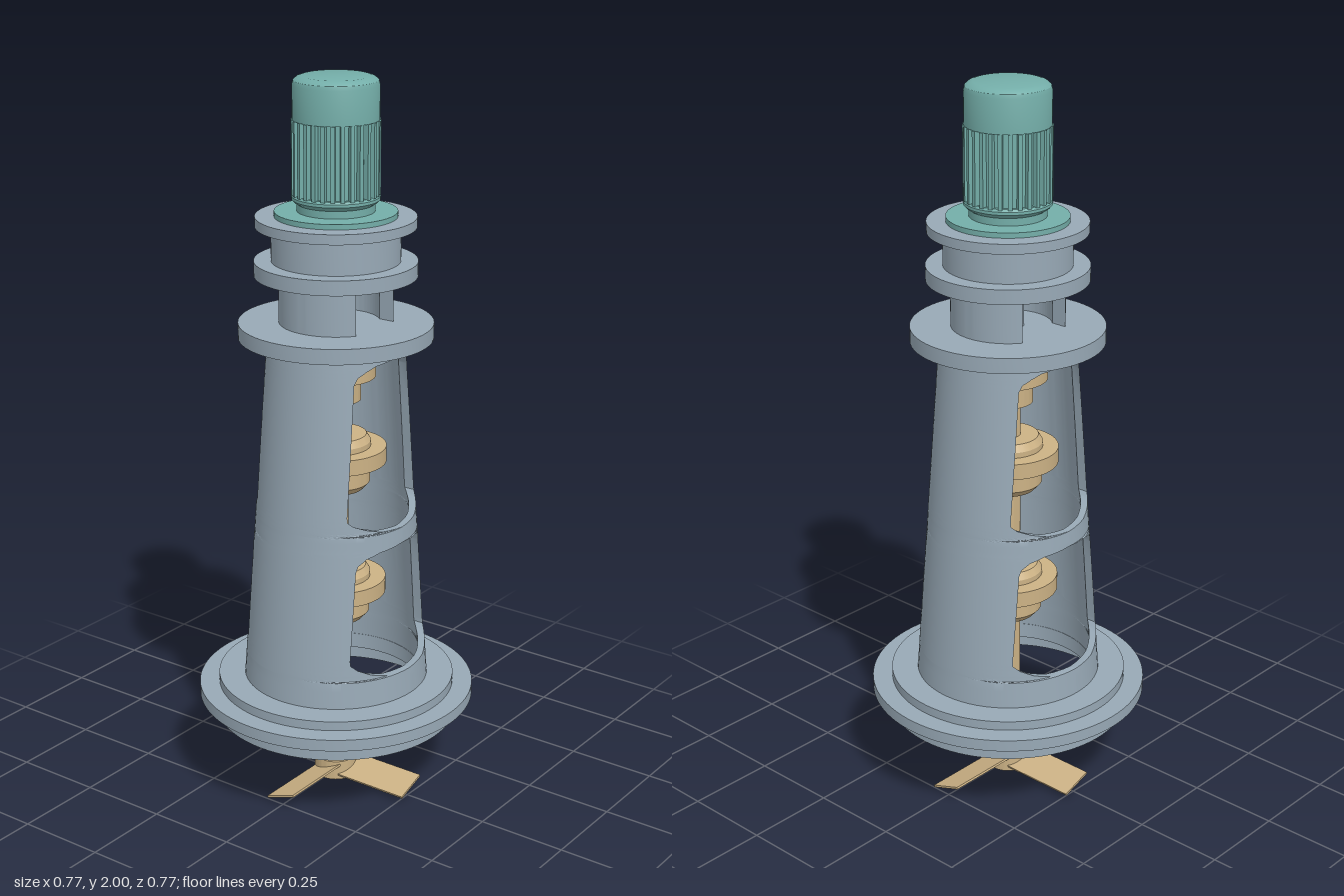
import * as THREE from 'three';
import { mergeGeometries, toCreasedNormals } from 'three/addons/utils/BufferGeometryUtils.js';

const material = (name, color) => {
  const m = new THREE.MeshStandardMaterial({ color });
  m.name = name;
  return m;
};

// Turned part; the profile runs counter-clockwise as [radius, height].
function turned(name, profile, mat, segments = 64) {
  const points = profile.map(([r, y]) => new THREE.Vector2(r, y));
  const mesh = new THREE.Mesh(toCreasedNormals(new THREE.LatheGeometry(points, segments), 0.5), mat);
  mesh.name = name;
  return mesh;
}
const disc = (name, r, y0, y1, mat) => turned(name, [[0, y0], [r, y0], [r, y1], [0, y1]], mat);

// Grid of points from at(i, j); cells for which skip(j) is true stay open.
function strip(at, nu, nv, skip = () => false) {
  const pos = [], index = [];
  for (let j = 0; j <= nv; j++) for (let i = 0; i <= nu; i++) pos.push(...at(i, j));
  for (let j = 0; j < nv; j++) {
    if (skip(j)) continue;
    for (let i = 0; i < nu; i++) {
      const a = j * (nu + 1) + i, c = a + nu + 1;
      index.push(a, a + 1, c, a + 1, c + 1, c);
    }
  }
  const g = new THREE.BufferGeometry();
  g.setAttribute('position', new THREE.Float32BufferAttribute(pos, 3));
  g.setIndex(index);
  return g;
}

// Half of a round wall, pierced front to back by openings.
// openings: [height, half width of the opening]; radius(y) is the outer radius.
function halfWall(openings, radius, thickness) {
  const levels = [];
  openings.forEach(([y, w], k) => {
    const next = openings[k + 1];
    if (!next) return levels.push([y, w]);
    for (let s = 0; s < 3; s++) {
      levels.push([y + (next[0] - y) * s / 3, w + (next[1] - w) * s / 3]);
    }
  });
  const n = 32, nv = levels.length - 1;
  const point = (j, t, inset) => {
    const [y, w] = levels[j];
    const r = radius(y) - inset;
    const phi = Math.acos(w / r) * t;
    return [r * Math.cos(phi), y, r * Math.sin(phi)];
  };
  const closed = j => levels[j][1] === 0 && levels[j + 1][1] === 0;
  return toCreasedNormals(mergeGeometries([
    strip((i, j) => point(j, 1 - 2 * i / n, 0), n, nv),
    strip((i, j) => point(j, -1, i * thickness), 1, nv, closed),
    strip((i, j) => point(j, -1 + 2 * i / n, thickness), n, nv),
    strip((i, j) => point(j, 1, (1 - i) * thickness), 1, nv, closed),
  ]), 0.5);
}

function wallPair(name, geometry, mat) {
  const group = new THREE.Group();
  group.name = name;
  for (const side of [0, 1]) {
    const mesh = new THREE.Mesh(geometry, mat);
    mesh.name = side ? 'rightWall' : 'leftWall';
    mesh.rotation.y = side * Math.PI;
    group.add(mesh);
  }
  return group;
}

export function createModel() {
  const grey = material('blueGreyCasting', 0x98a9b6);
  const teal = material('tealMotor', 0x74aea9);
  const tan = material('tanShaft', 0xccb285);
  const model = new THREE.Group();
  model.name = 'agitator';

  // Hollow stepped base flange
  model.add(turned('baseFlange', [
    [0.31, 0.212], [0.337, 0.212], [0.337, 0.265], [0.385, 0.265], [0.385, 0.298],
    [0.33, 0.298], [0.33, 0.324], [0.236, 0.324], [0.236, 0.28], [0.31, 0.265], [0.31, 0.212],
  ], grey, 96));

  // Tapered lantern with two openings, front and back
  const taper = y => 0.257 - 0.072 * (y - 0.324) / 0.981;
  model.add(wallPair('lantern', halfWall([
    [0.324, 0], [0.398, 0], [0.402, 0.085], [0.415, 0.13], [0.432, 0.16], [0.447, 0.174], [0.46, 0.174],
    [0.71, 0.148], [0.728, 0.142], [0.745, 0.122], [0.757, 0.085], [0.765, 0],
    [0.808, 0], [0.814, 0.075], [0.826, 0.115], [0.84, 0.145], [0.852, 0.156], [0.865, 0.156],
    [1.225, 0.121], [1.243, 0.112], [1.256, 0.092], [1.268, 0.065], [1.275, 0], [1.305, 0],
  ], taper, 0.02), grey));

  // Flanges and neck above the lantern
  model.add(disc('lanternFlange', 0.262, 1.305, 1.347, grey));
  model.add(disc('sealSeat', 0.085, 1.24, 1.305, grey));
  model.add(wallPair('neckPillars', halfWall([[1.347, 0.085], [1.475, 0.085]], () => 0.153, 0.035), grey));
  model.add(disc('neckShaft', 0.043, 1.347, 1.475, grey));
  model.add(turned('gearHousing', [
    [0, 1.475], [0.218, 1.475], [0.218, 1.515], [0.172, 1.515], [0.172, 1.607],
    [0.214, 1.607], [0.214, 1.634], [0, 1.634],
  ], grey, 96));

  // Motor
  const motor = new THREE.Group();
  motor.name = 'motor';
  motor.add(turned('motorBody', [
    [0, 1.634], [0.163, 1.634], [0.163, 1.648], [0.103, 1.648], [0.103, 1.668], [0.112, 1.674],
    [0.117, 1.68], [0.117, 1.688], [0.112, 1.694], [0.102, 1.694], [0.102, 1.89], [0, 1.89],
  ], teal));
  motor.add(turned('motorCap', [
    [0, 1.888], [0.114, 1.888], [0.114, 1.978], [0.111, 1.989], [0.103, 1.996], [0.09, 2], [0, 2],
  ], teal));
  const finGeometry = new THREE.BoxGeometry(0.02, 0.196, 0.011);
  finGeometry.translate(0.107, 1.79, 0);
  const finCount = 28;
  for (let i = 0; i < finCount; i++) {
    const fin = new THREE.Mesh(finGeometry, teal);
    fin.name = 'coolingFin';
    fin.rotation.y = (i + 0.5) * 2 * Math.PI / finCount;
    motor.add(fin);
  }
  model.add(motor);

  // Shaft, seal and couplings
  model.add(disc('shaft', 0.034, 0.02, 1.25, tan));
  model.add(turned('shaftSeal', [
    [0, 1.13], [0.068, 1.13], [0.068, 1.197], [0.108, 1.197], [0.108, 1.24], [0, 1.24],
  ], tan));
  for (const y of [0.592, 0.976]) {
    const coupling = turned('coupling', [
      [0, -0.1], [0.075, -0.1], [0.093, -0.08], [0.093, -0.022], [0.138, -0.022], [0.138, 0.022],
      [0.095, 0.022], [0.095, 0.037], [0.083, 0.056], [0, 0.056],
    ], tan);
    coupling.position.y = y;
    model.add(coupling);
  }

  // Propeller with four pitched blades
  const propeller = new THREE.Group();
  propeller.name = 'propeller';
  propeller.add(disc('hub', 0.06, 0, 0.056, tan));
  const bladeGeometry = new THREE.BoxGeometry(0.222, 0.006, 0.095);
  bladeGeometry.rotateX(0.33);
  bladeGeometry.translate(0.151, 0.03, 0);
  for (let i = 0; i < 4; i++) {
    const blade = new THREE.Mesh(bladeGeometry, tan);
    blade.name = 'blade';
    blade.rotation.y = i * Math.PI / 2;
    propeller.add(blade);
  }
  model.add(propeller);
  return model;
}
